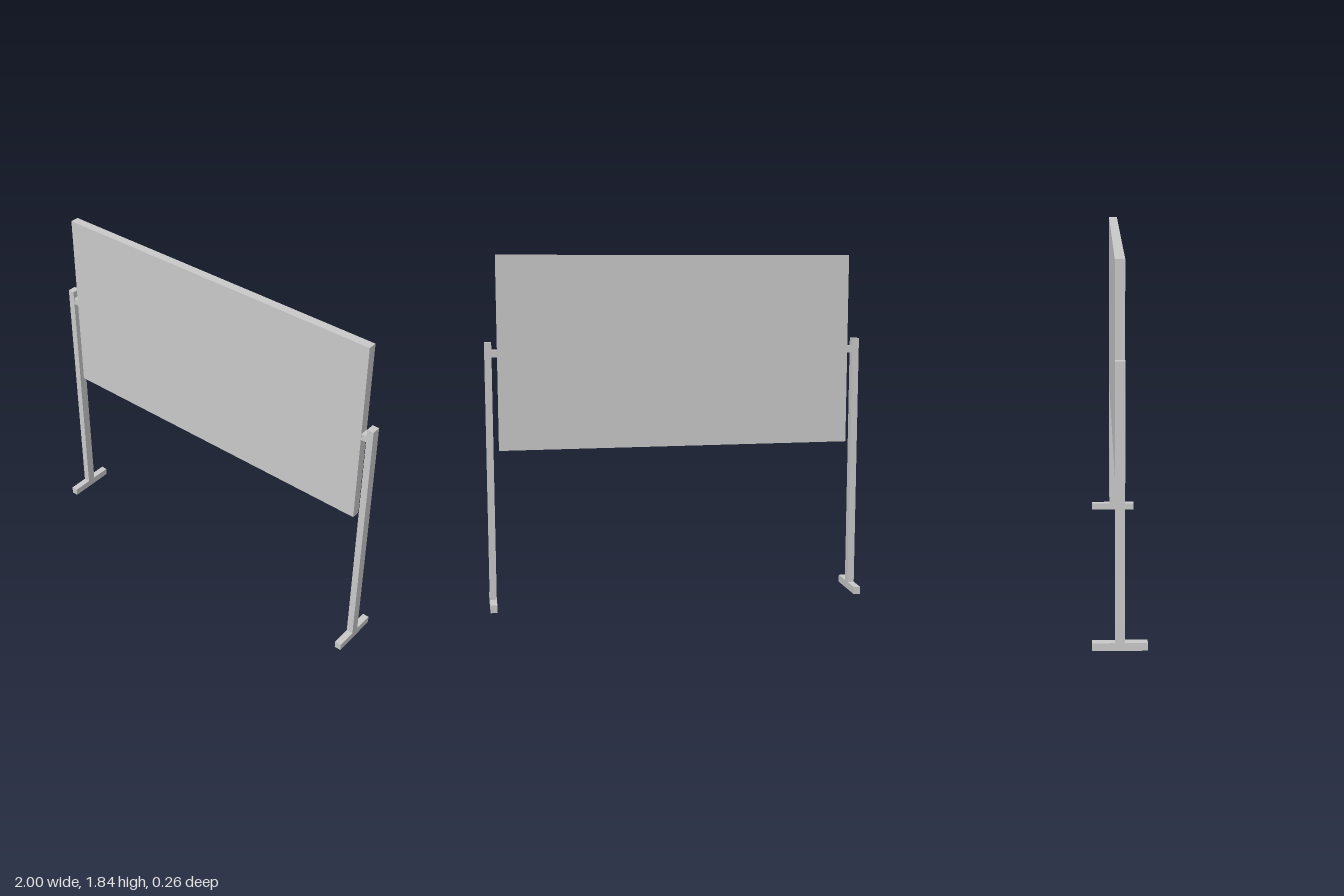
import * as THREE from 'three';

export function createModel() {
  const group = new THREE.Group();
  const material = new THREE.MeshStandardMaterial({ color: 0xcccccc, flatShading: true });

  const addBox = (name, [w, h, d], [x, y, z]) => {
    const mesh = new THREE.Mesh(new THREE.BoxGeometry(w, h, d), material);
    mesh.name = name;
    mesh.position.set(x, y, z);
    group.add(mesh);
  };

  // Writing panel
  addBox('board', [1.87, 1.005, 0.046], [0, 1.334, 0]);

  // Mirrored stands: foot, post and the pivot block holding the panel
  for (const [side, s] of [['left', 1], ['right', -1]]) {
    addBox(`${side}Foot`, [0.036, 0.04, 0.262], [s * 0.982, 0.02, 0]);
    addBox(`${side}Post`, [0.036, 1.353, 0.046], [s * 0.982, 0.7165, 0]);
    addBox(`${side}Pivot`, [0.029, 0.036, 0.042], [s * 0.9495, 1.335, 0]);
  }
  return group;
}
